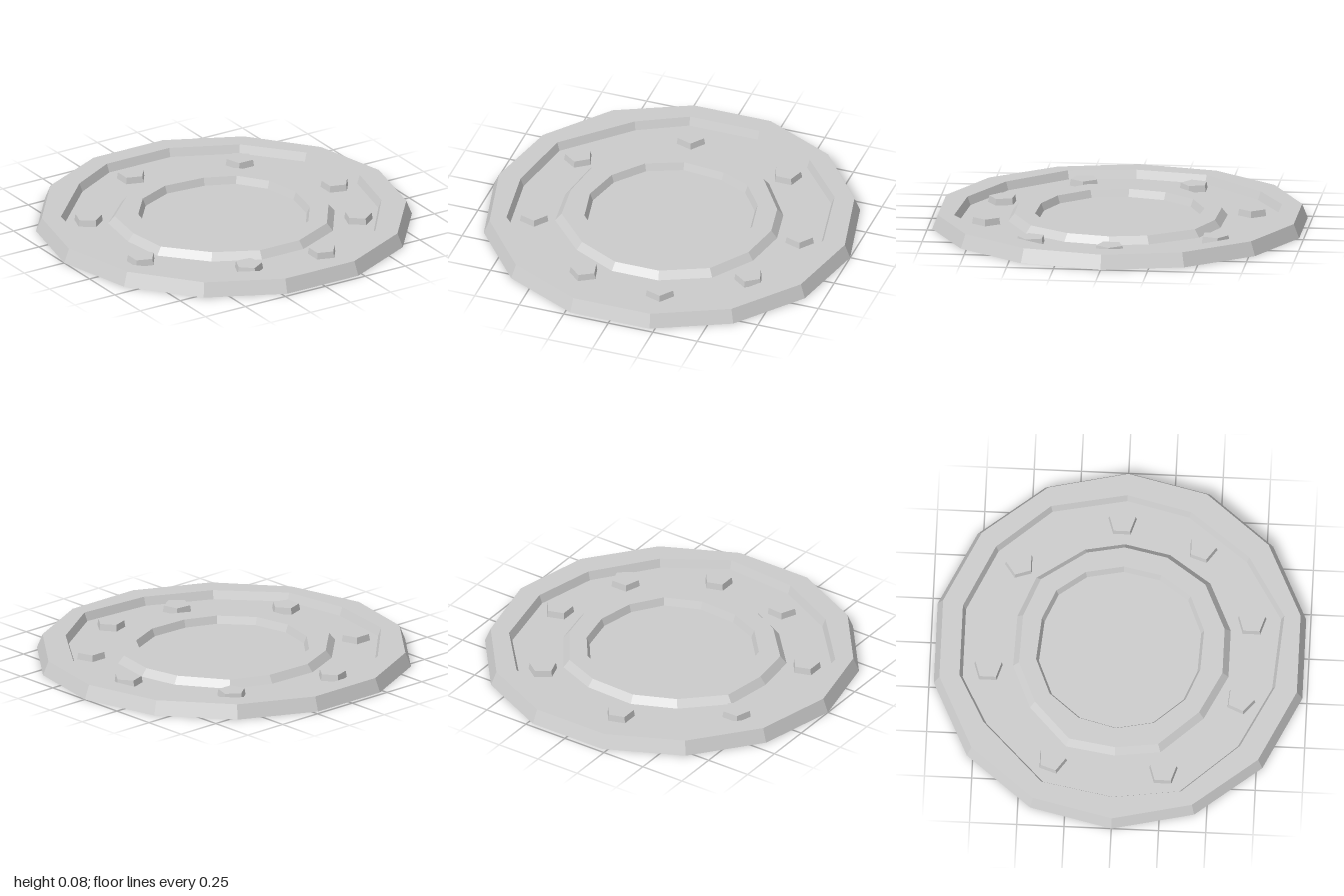
import * as THREE from 'three';

const SIDES = 14;

// Regular outline, and hand-cut outlines given as x, z pairs
const regular = (r) => Array.from({ length: SIDES }, (_, i) => {
  const a = (i / SIDES) * Math.PI * 2;
  return [r * Math.cos(a), r * Math.sin(a)];
});
const grooveRim = [
  [0.85, 0], [0.77, 0.34], [0.53, 0.66], [0.21, 0.86], [-0.19, 0.83], [-0.53, 0.66], [-0.8, 0.36],
  [-0.85, 0], [-0.78, -0.38], [-0.46, -0.7], [-0.2, -0.84], [0.19, -0.84], [0.53, -0.68], [0.77, -0.4],
];
const ringBase = [
  [0.59, 0], [0.54, 0.24], [0.39, 0.46], [0.13, 0.58], [-0.13, 0.58], [-0.37, 0.46], [-0.57, 0.24],
  [-0.6, 0], [-0.56, -0.26], [-0.35, -0.46], [-0.12, -0.56], [0.16, -0.55], [0.38, -0.46], [0.55, -0.21],
];
const pitRim = [
  [0.45, 0], [0.41, 0.2], [0.3, 0.36], [0.11, 0.44], [-0.11, 0.43], [-0.28, 0.36], [-0.42, 0.2],
  [-0.46, 0], [-0.41, -0.2], [-0.28, -0.36], [-0.09, -0.44], [0.14, -0.42], [0.3, -0.35], [0.41, -0.2],
];

// Places an outline at a height, scaled about the centre
const ring = (outline, y, s = 1) => outline.map(([x, z]) => [x * s, y, z * s]);

// Joins successive rings with bands of faces
function loft(rings) {
  const pos = [];
  for (let k = 0; k < rings.length - 1; k++) {
    const a = rings[k], b = rings[k + 1];
    for (let i = 0; i < SIDES; i++) {
      const j = (i + 1) % SIDES;
      pos.push(...a[i], ...b[i], ...a[j], ...b[i], ...b[j], ...a[j]);
    }
  }
  const geo = new THREE.BufferGeometry();
  geo.setAttribute('position', new THREE.Float32BufferAttribute(pos, 3));
  geo.computeVertexNormals();
  return geo;
}

export function createModel() {
  const group = new THREE.Group();
  const material = new THREE.MeshStandardMaterial({ color: 0xcccccc, flatShading: true });
  const add = (name, geo) => {
    const mesh = new THREE.Mesh(geo, material);
    mesh.name = name;
    group.add(mesh);
    return mesh;
  };
  const top = 0.075, floor = 0.03;
  const outer = regular(1);

  // Outer rim with its sloped edge and flat underside
  add('outerRim', loft([
    ring(outer, 0, 0), ring(outer, 0), ring(outer, top, 0.97), ring(grooveRim, top), ring(grooveRim, floor, 0.98),
  ]));
  // Sunken floor between the rim and the inner ring
  add('grooveFloor', loft([ring(grooveRim, floor, 0.98), ring(ringBase, floor)]));
  // Raised inner ring
  add('innerRing', loft([
    ring(ringBase, floor), ring(ringBase, 0.07, 0.945), ring(pitRim, 0.07), ring(pitRim, floor, 0.965),
  ]));
  // Central sunken disc
  add('centreFloor', loft([ring(pitRim, floor, 0.965), ring(pitRim, floor, 0)]));

  // Five-sided studs: x, z, direction of one corner
  const studs = [
    [-0.14, -0.69, 0], [0.45, -0.55, -90], [0.71, -0.02, 0], [0.58, 0.41, 90],
    [0.18, 0.69, 0], [-0.26, 0.65, 95], [-0.68, 0.26, 0], [-0.64, -0.33, 90],
  ];
  const studGeo = new THREE.CylinderGeometry(0.073, 0.08, 0.04, 5);
  studGeo.rotateY(Math.PI / 2); // first corner towards +x
  studs.forEach(([x, z, deg], i) => {
    const stud = add(`stud${i + 1}`, studGeo);
    stud.position.set(x, floor + 0.015, z);
    stud.rotation.y = -THREE.MathUtils.degToRad(deg);
  });
  return group;
}
